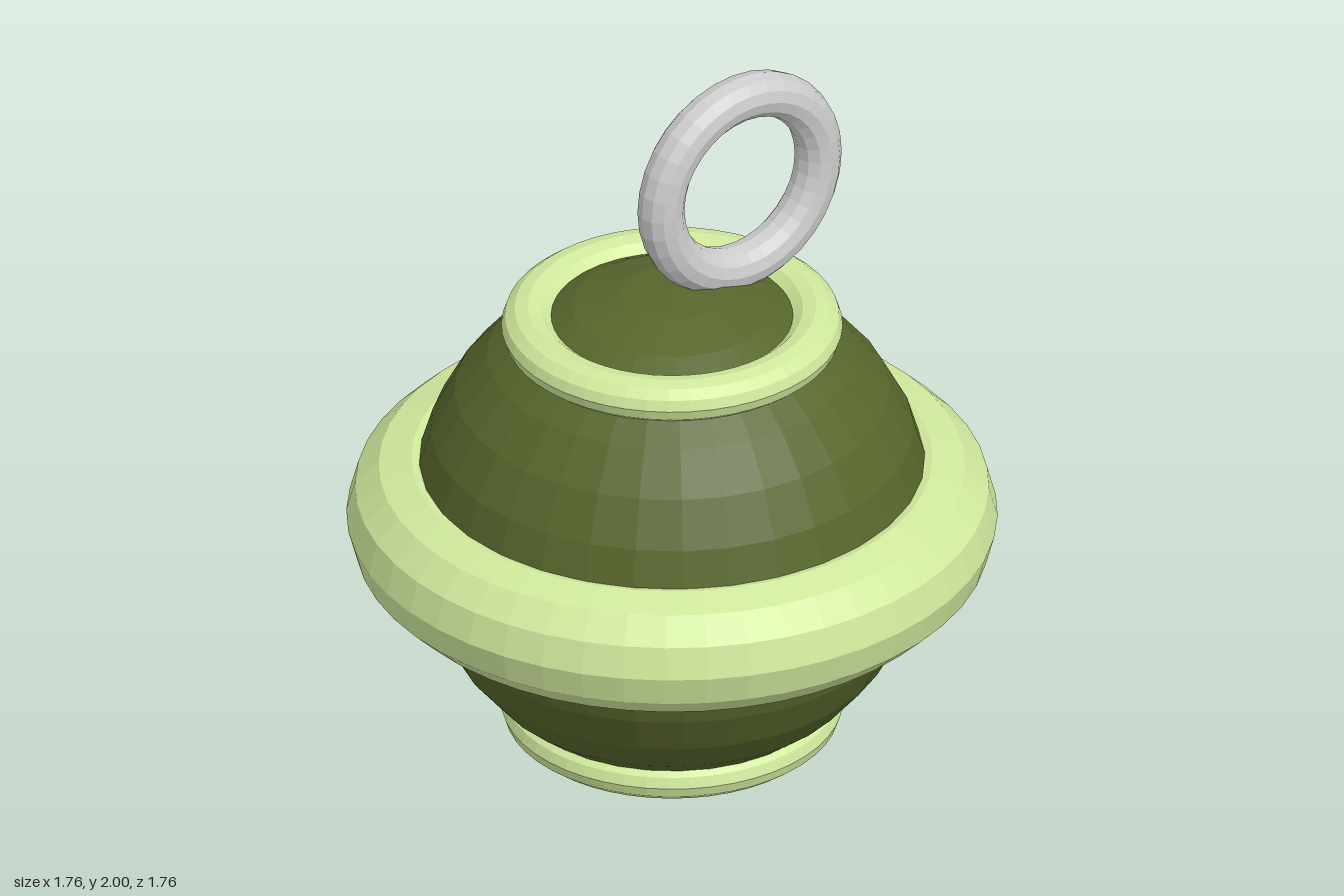
import * as THREE from 'three';

const material = (color) => new THREE.MeshStandardMaterial({ color, flatShading: true });

export function createModel() {
  const model = new THREE.Group();
  const dark = material(0x57662c);
  const light = material(0xd0e89c);
  const grey = material(0xcccccc);
  const midY = 0.708;

  const add = (name, geometry, mat, y, z = 0) => {
    const mesh = new THREE.Mesh(geometry, mat);
    mesh.name = name;
    mesh.position.set(0, y, z);
    model.add(mesh);
  };

  // horizontal ring, optionally flattened in height
  const band = (radius, tube, flatten = 1) =>
    new THREE.TorusGeometry(radius, tube, 12, 48).rotateX(Math.PI / 2).scale(1, flatten, 1);

  // round body
  add('body', new THREE.SphereGeometry(0.708, 32, 16), dark, midY);

  // wide belt around the middle
  add('belt', band(0.705, 0.176), light, midY);

  // matching collars near the top and bottom
  for (const [name, side] of [['topCollar', 1], ['bottomCollar', -1]]) {
    add(name, band(0.39, 0.072, 0.82), light, midY + side * 0.595);
  }

  // upright pull ring, set towards the back
  const ring = new THREE.TorusGeometry(0.264, 0.064, 12, 32).rotateY(Math.PI / 2);
  add('pullRing', ring, grey, 1.672, -0.227);

  return model;
}
